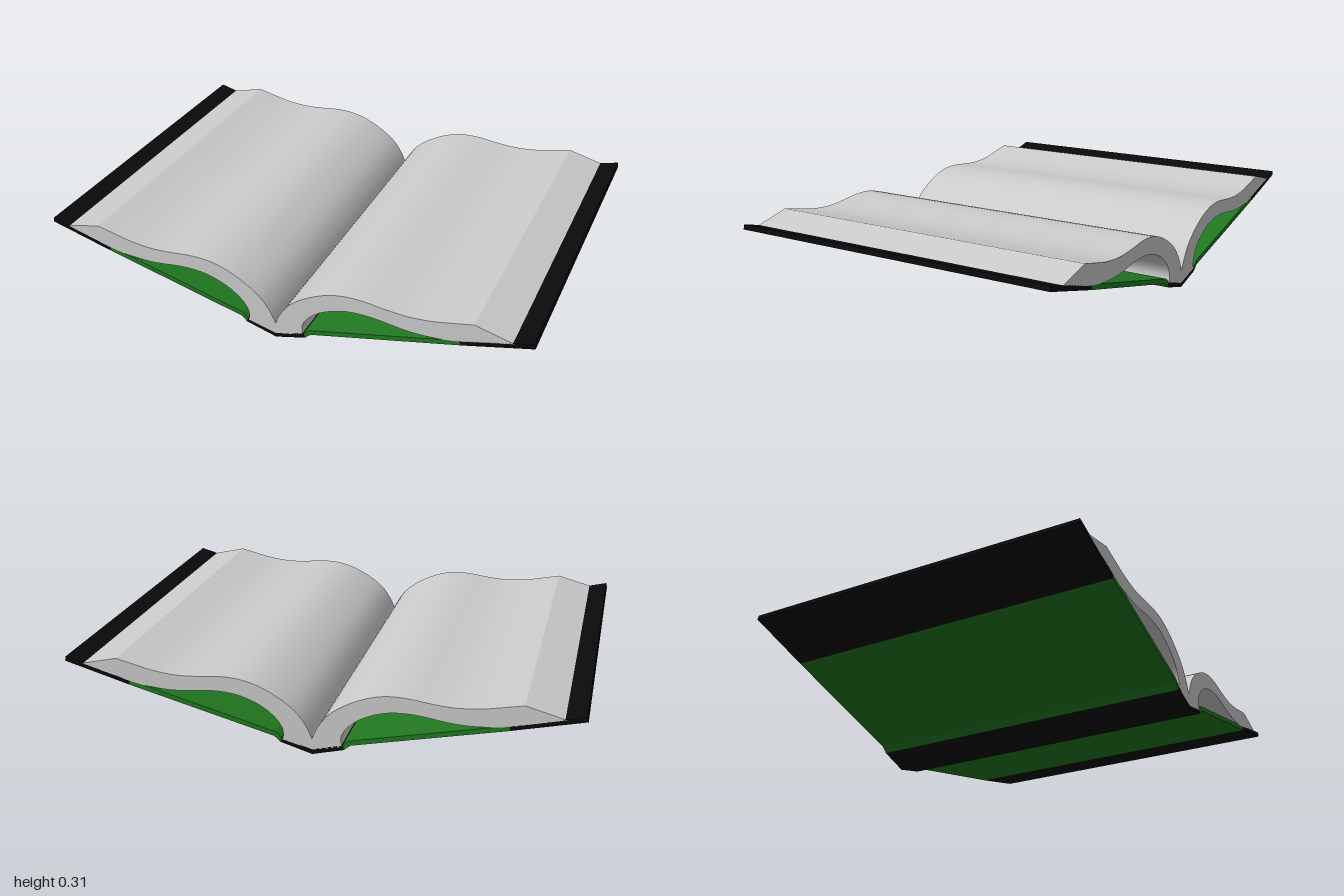
import * as THREE from 'three';
import { toCreasedNormals } from 'three/addons/utils/BufferGeometryUtils.js';

const DEPTH = 1.374;

// Smooth 2D curve through a few points
const smooth = (pts, n) => new THREE.SplineCurve(pts.map(p => new THREE.Vector2(...p))).getPoints(n);
const vec = pts => pts.map(p => new THREE.Vector2(...p));

// Extrude an outline along z; side = 1 (left) or -1 (right) mirrors it
function slab(name, outline, side, material) {
  const shape = new THREE.Shape(outline.map(p => new THREE.Vector2(p.x * side, p.y)));
  const geo = new THREE.ExtrudeGeometry(shape, { depth: DEPTH, bevelEnabled: false, steps: 1 });
  geo.translate(0, 0, -DEPTH / 2);
  const mesh = new THREE.Mesh(toCreasedNormals(geo, Math.PI / 9), material);
  mesh.name = name;
  return mesh;
}

export function createModel() {
  const book = new THREE.Group();
  book.name = 'openBook';
  const paper = new THREE.MeshStandardMaterial({ color: 0xcccccc });
  const black = new THREE.MeshStandardMaterial({ color: 0x0a0a0a });
  const green = new THREE.MeshStandardMaterial({ color: 0x217821 });

  // Wavy page block: upper leaf surface, sloped fore edge, hollow underside, spine foot
  const pages = [
    ...smooth([[0, 0.065], [0.02, 0.112], [0.06, 0.168], [0.12, 0.215], [0.2, 0.256], [0.28, 0.277],
      [0.36, 0.279], [0.44, 0.27], [0.53, 0.264], [0.62, 0.271], [0.7, 0.287], [0.78, 0.305]], 36),
    ...vec([[0.927, 0.268]]),
    ...smooth([[0.74, 0.217], [0.68, 0.206], [0.6, 0.199], [0.52, 0.201], [0.42, 0.214], [0.35, 0.217],
      [0.28, 0.209], [0.2, 0.179], [0.145, 0.138], [0.118, 0.1], [0.112, 0.07], [0.117, 0.047]], 32),
    ...vec([[0, 0.018]]),
  ];

  // Cover sections, from the spine outwards
  const spine = vec([[0, 0], [0.125, 0.035], [0.12, 0.054], [0, 0.02]]);
  const hinge = vec([[0.125, 0.035], [0.136, 0.046], [0.15, 0.057], [0.145, 0.076], [0.133, 0.068], [0.12, 0.054]]);
  const board = vec([[0.15, 0.057], [0.735, 0.2], [0.73, 0.219], [0.145, 0.076]]);
  const edge = vec([[0.735, 0.2], [1, 0.27], [0.995, 0.289], [0.73, 0.219]]);

  for (const [label, side] of [['left', 1], ['right', -1]]) {
    book.add(
      slab(label + 'Pages', pages, side, paper),
      slab(label + 'Spine', spine, side, black),
      slab(label + 'Hinge', hinge, side, green),
      slab(label + 'CoverBoard', board, side, green),
      slab(label + 'CoverEdge', edge, side, black),
    );
  }
  return book;
}
